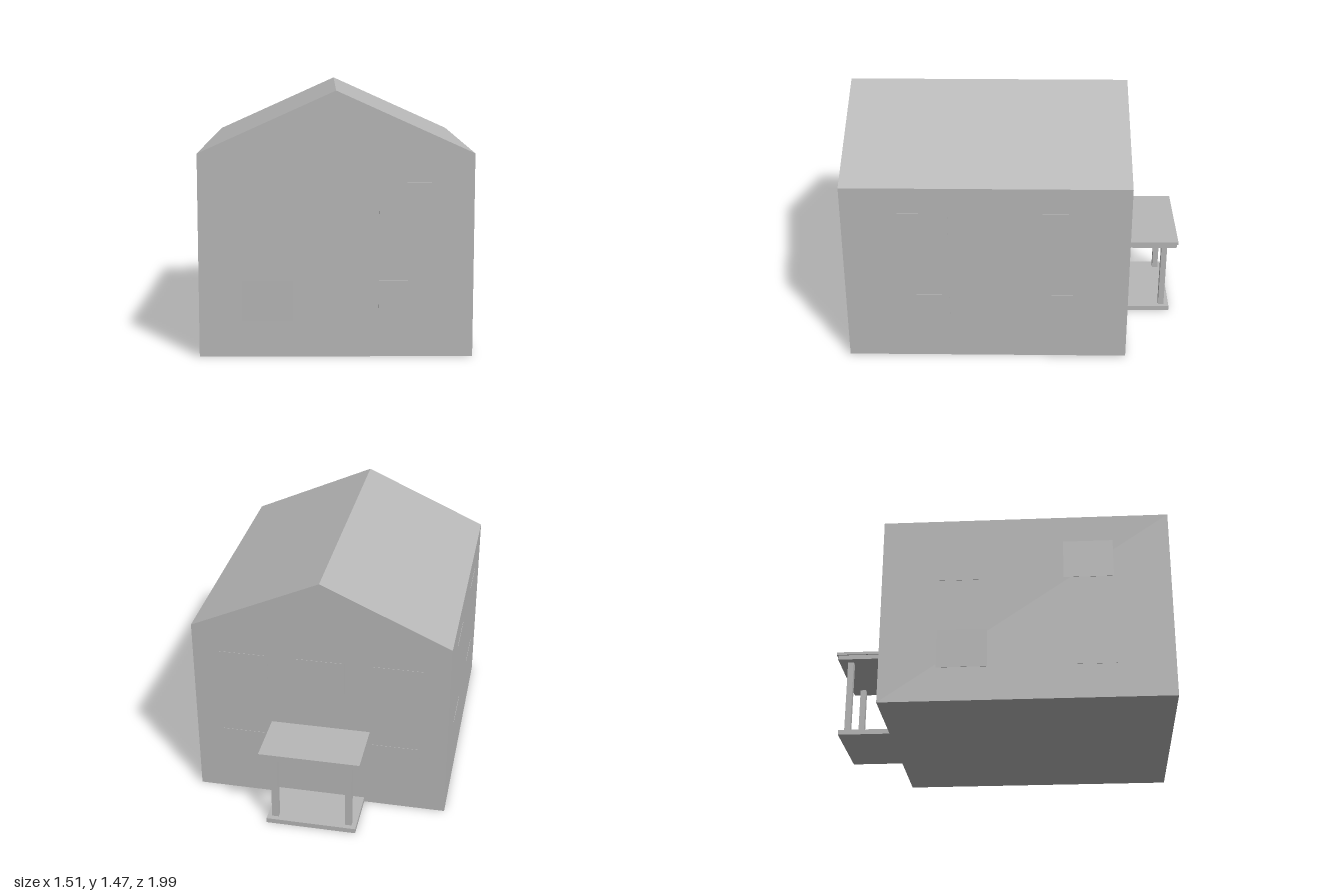
import * as THREE from 'three';

export function createModel() {
  const house = new THREE.Group();
  house.name = 'house';
  const grey = new THREE.MeshStandardMaterial({ color: 0xb8b8b8 });
  grey.name = 'plain grey';

  const HALF = 0.755, EAVE = 1.13, RIDGE = 1.47, FRONT = 0.985, BACK = -0.665;

  function add(name, geometry, x = 0, y = 0, z = 0) {
    const mesh = new THREE.Mesh(geometry, grey);
    mesh.name = name;
    mesh.position.set(x, y, z);
    house.add(mesh);
    return mesh;
  }

  // Box given by its limits on each axis
  function block(name, x0, x1, y0, y1, z0, z1) {
    return add(name, new THREE.BoxGeometry(x1 - x0, y1 - y0, z1 - z0),
      (x0 + x1) / 2, (y0 + y1) / 2, (z0 + z1) / 2);
  }

  // Gabled body: walls and roof in one extrusion
  const gable = new THREE.Shape([
    new THREE.Vector2(-HALF, 0),
    new THREE.Vector2(HALF, 0),
    new THREE.Vector2(HALF, EAVE),
    new THREE.Vector2(0, RIDGE),
    new THREE.Vector2(-HALF, EAVE),
  ]);
  add('body', new THREE.ExtrudeGeometry(gable, { depth: FRONT - BACK, bevelEnabled: false }), 0, 0, BACK);

  // Windows: thin panes almost flush with the walls
  const pane = new THREE.BoxGeometry(0.285, 0.23, 0.004);
  const LOWER = 0.315, UPPER = 0.855;
  for (const y of [LOWER, UPPER]) {
    for (const side of [-1, 1]) {
      add('frontWindow', pane, side * 0.3775, y, FRONT);
      add('backWindow', pane, side * 0.453, y, BACK);
      for (const z of [-0.2, 0.52]) {
        add('sideWindow', pane, side * HALF, y, z).rotation.y = Math.PI / 2;
      }
    }
  }
  add('backMiddleWindow', pane, 0, UPPER, BACK);

  // Back porch: step, two posts and a canopy with a small lip
  block('porchStep', -0.267, 0.267, 0, 0.03, -0.97, BACK);
  for (const side of [-1, 1]) {
    block('porchPost', side * 0.22 - 0.02, side * 0.22 + 0.02, 0.03, 0.473, -0.94, -0.905);
  }
  block('canopyBase', -0.287, 0.287, 0.473, 0.5, -0.992, BACK);
  block('canopyTop', -0.295, 0.295, 0.5, 0.517, -1, BACK);

  return house;
}
